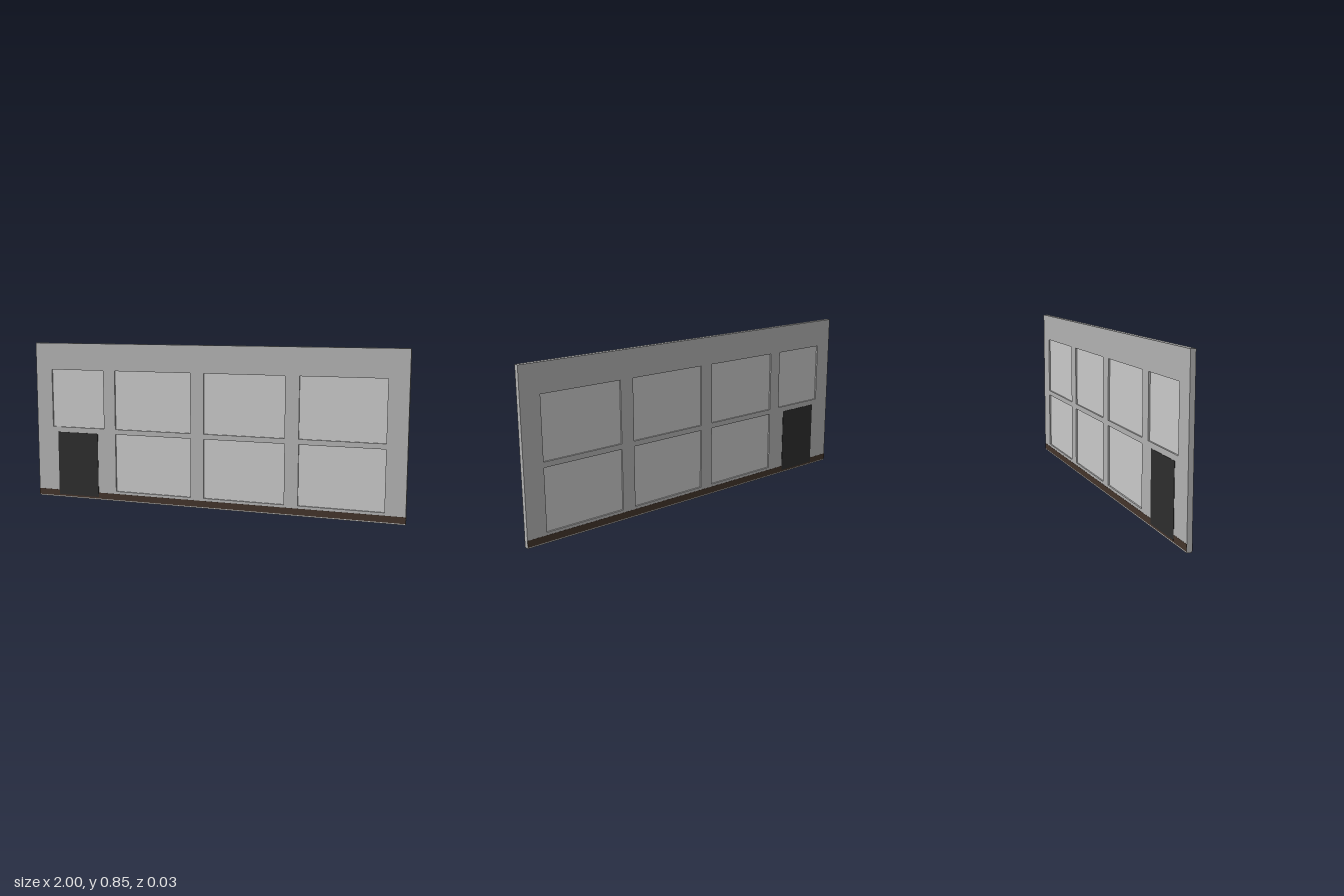
import * as THREE from 'three';

const material = (name, color) => {
  const m = new THREE.MeshStandardMaterial({ color });
  m.name = name;
  return m;
};

export function createModel() {
  const group = new THREE.Group();
  const wallGrey = material('wall grey', 0xb2b2b2);
  const paneGrey = material('pane light grey', 0xc9c9c9);
  const doorBlack = material('door charcoal', 0x2d2d2d);
  const skirtBrown = material('skirting brown', 0x43342b);

  const H = 0.845, T = 0.025;
  const columns = [[-0.905, -0.597], [-0.53, -0.102], [-0.03, 0.398], [0.47, 0.898]];
  const rows = [[0.053, 0.363], [0.39, 0.702]];

  const add = (name, geometry, mat) => {
    const mesh = new THREE.Mesh(geometry, mat);
    mesh.name = name;
    group.add(mesh);
    return mesh;
  };
  // Box given by its x and y limits, centred on z = 0
  const slab = (name, [x0, x1], [y0, y1], depth, mat) =>
    add(name, new THREE.BoxGeometry(x1 - x0, y1 - y0, depth), mat)
      .position.set((x0 + x1) / 2, (y0 + y1) / 2, 0);

  // Wall outline with window openings
  const wall = new THREE.Shape([[-1, 0], [1, 0], [1, H], [-1, H]].map(p => new THREE.Vector2(...p)));
  columns.forEach((cx, i) => rows.forEach((ry, j) => {
    if (i === 0 && j === 0) return; // the door stands here
    const [x0, x1] = cx, [y0, y1] = ry;
    wall.holes.push(new THREE.Path([[x0, y0], [x0, y1], [x1, y1], [x1, y0]].map(p => new THREE.Vector2(...p))));
    // Pane set back from both faces of the wall
    slab('windowPane', cx, ry, 0.009, paneGrey);
  }));
  const wallGeometry = new THREE.ExtrudeGeometry(wall, { depth: T, bevelEnabled: false });
  wallGeometry.translate(0, 0, -T / 2);
  add('wall', wallGeometry, wallGrey);

  // Skirting plates on both faces
  for (const side of [-1, 1]) {
    add('skirting', new THREE.BoxGeometry(2, 0.033, 0.001), skirtBrown)
      .position.set(0, 0.0225, side * (T / 2 + 0.0003));
  }

  // Door, visible on both faces
  slab('door', [-0.875, -0.635], [0.015, 0.362], T + 0.0032, doorBlack);

  return group;
}
